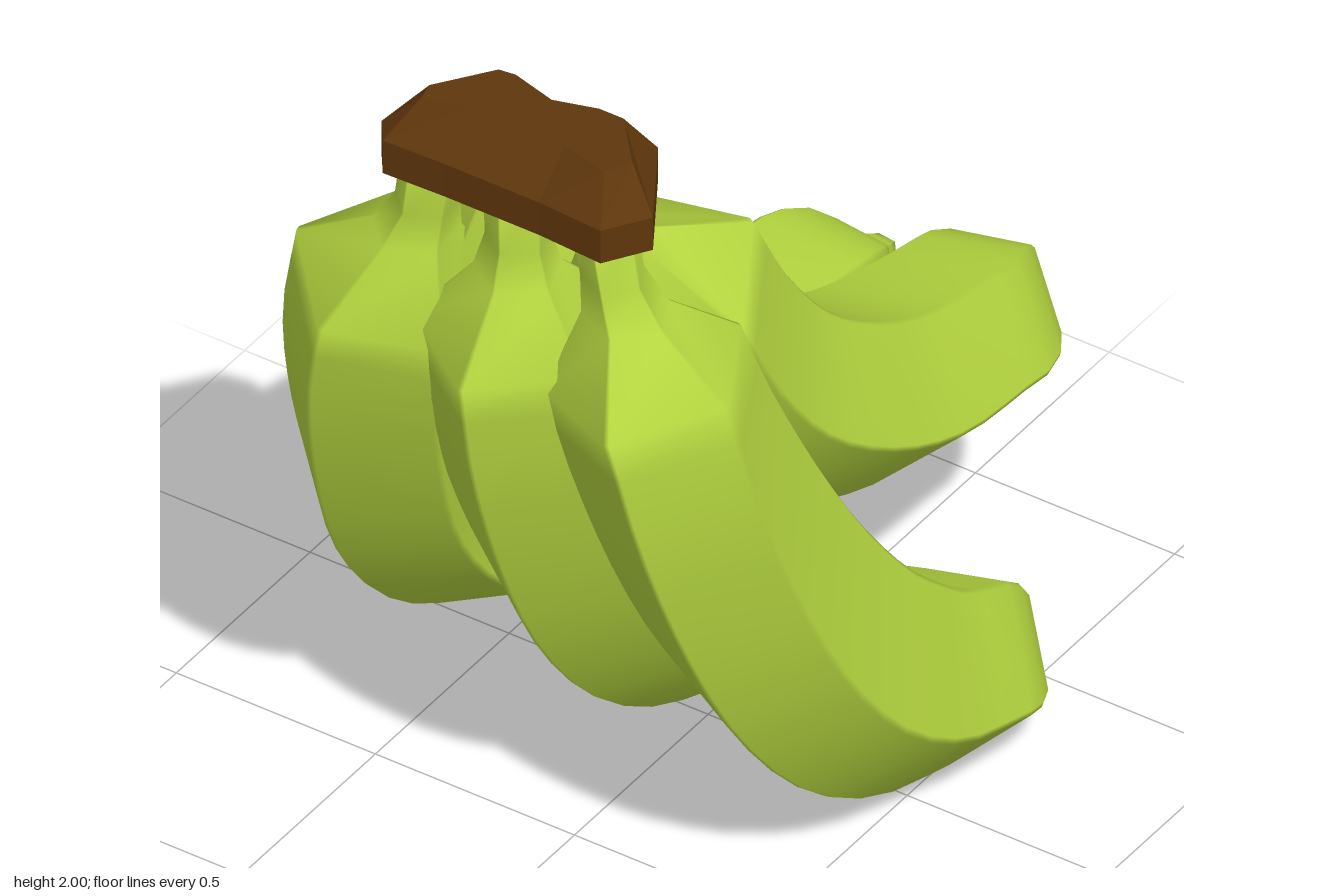
import * as THREE from 'three';

const V = (x, y, z) => new THREE.Vector3(x, y, z);
const smooth = THREE.MathUtils.smoothstep;

// Skin a stack of equal-sized rings and close both ends with fans.
function loft(rings) {
  const n = rings[0].length, pos = [], idx = [];
  rings.forEach(r => r.forEach(p => pos.push(p.x, p.y, p.z)));
  for (const r of [rings[0], rings[rings.length - 1]]) {
    const c = V(0, 0, 0);
    r.forEach(p => c.addScaledVector(p, 1 / n));
    pos.push(c.x, c.y, c.z);
  }
  const start = rings.length * n, end = start + 1, base = start - n;
  for (let j = 0; j < n; j++) {
    const k = (j + 1) % n;
    for (let i = 0; i < rings.length - 1; i++) {
      const a = i * n + j, b = i * n + k;
      idx.push(a, a + n, b, b, a + n, b + n);
    }
    idx.push(start, j, k, end, base + k, base + j);
  }
  const g = new THREE.BufferGeometry();
  g.setAttribute('position', new THREE.Float32BufferAttribute(pos, 3));
  g.setIndex(idx);
  return g;
}

// Five-sided ring with narrow bevelled corners around c, square to direction t.
// One corner lies on the outer curve; depth pushes the flat inner face outwards.
function pentagon(c, t, radius, roll, depth = 1) {
  const side = V(1, 0, 0).addScaledVector(t, -t.x).normalize();
  const front = t.clone().cross(side);
  const corners = Array.from({ length: 5 }, (_, j) => {
    const a = roll + j * Math.PI * 2 / 5;
    const f = Math.cos(a) * (j === 2 || j === 3 ? depth : 1);
    return c.clone().addScaledVector(front, radius * f).addScaledVector(side, radius * Math.sin(a));
  });
  return corners.flatMap((p, j) => [
    p.clone().lerp(corners[(j + 4) % 5], 0.03),
    p.clone().lerp(corners[(j + 1) % 5], 0.03),
  ]);
}

// stem: [x, y, z, radius] from the crown down; body: centre line; tip: end point.
function fruitGeometry({ stem, body, tip, roll, bulge }) {
  const R = 0.23, steps = 16, rings = [], down = V(0, -1, 0);
  for (const [x, y, z, r] of stem) rings.push(pentagon(V(x, y, z), down, r, roll));
  const curve = new THREE.CatmullRomCurve3(body);
  for (let i = 0; i <= steps; i++) {
    const u = i / steps;
    rings.push(pentagon(curve.getPointAt(u), curve.getTangentAt(u),
      R * (1 - 0.07 * smooth(u, 0.75, 1)), roll, 1 + bulge * Math.sin(u * Math.PI * 0.85)));
  }
  const last = body[body.length - 1];
  const t = tip.clone().sub(last).normalize().add(curve.getTangentAt(1)).normalize();
  for (const [f, r] of [[0.22, 0.202], [0.45, 0.172], [0.66, 0.118], [0.8, 0.064], [0.92, 0.046], [1, 0.036]]) {
    rings.push(pentagon(last.clone().lerp(tip, f), t, r, roll, 1 + bulge * 0.45 * (1 - f)));
  }
  const g = loft(rings);
  g.computeVertexNormals();
  return g;
}

// Front-row fruit: x runs from top to bottom, ky and kz shorten the common curve.
const frontCurve = [[0.72, 1.49], [0.68, 1.25], [0.575, 0.94], [0.445, 0.68], [0.26, 0.45], [0.04, 0.295], [-0.19, 0.212]];
function frontFruit(xStem, xTop, xLow, xTip, ky, kz, roll) {
  const fit = (x, z, y) => V(x, 1.49 - (1.49 - y) * ky, 0.72 - (0.72 - z) * kz);
  const spread = i => Math.sin(Math.min(1, i / 5) * Math.PI / 2);
  return {
    roll, bulge: 0.4,
    stem: [[xStem, 1.86, 0.73, 0.073], [xStem + (xTop - xStem) * 0.2, 1.72, 0.725, 0.073],
      [xStem + (xTop - xStem) * 0.5, 1.63, 0.72, 0.1]],
    body: frontCurve.map(([z, y], i) => fit(xTop + (xLow - xTop) * spread(i), z, y)),
    tip: fit(xTip, -0.47, 0.1),
  };
}

// Back-row fruit
function backFruit(xStem, xTop, xLow, curve, tip, roll) {
  return {
    roll, tip, bulge: 0,
    stem: [[xStem, 1.86, 0.585, 0.065], [xStem, 1.75, 0.58, 0.06], [xStem * 1.1, 1.675, 0.56, 0.08]],
    body: curve.map(([z, y], i) => V(xTop + (xLow - xTop) * Math.min(1, i / 3), y, z)),
  };
}

const fruits = {
  frontLeftFruit: frontFruit(0.23, 0.335, 0.482, 0.47, 1, 1, 0.18),
  frontMiddleFruit: frontFruit(0.01, 0.005, 0.01, 0.03, 0.96, 0.96, 0.02),
  frontRightFruit: frontFruit(-0.2, -0.305, -0.485, -0.49, 0.925, 0.96, -0.18),
  backLeftFruit: backFruit(0.14, 0.21, 0.25,
    [[0.48, 1.53], [0.355, 1.3], [0.2, 1.1], [0, 0.945], [-0.245, 0.825], [-0.6, 0.755]],
    V(0.19, 0.7, -0.89), 0.14),
  backRightFruit: backFruit(-0.13, -0.18, -0.195,
    [[0.48, 1.53], [0.39, 1.25], [0.25, 1], [0.04, 0.79], [-0.23, 0.655], [-0.62, 0.592]],
    V(-0.185, 0.555, -0.935), -0.1),
};

// Woody crown: [x, z] outlines of the straight lower part and the drawn-in top
const crownBase = [[0.28, 0.82], [0.345, 0.72], [0.22, 0.515], [0.13, 0.52], [0.01, 0.56],
  [-0.13, 0.515], [-0.18, 0.525], [-0.31, 0.76], [-0.27, 0.815], [-0.12, 0.81], [0.12, 0.81]];
const crownTop = [[0.24, 0.745], [0.27, 0.685], [0.17, 0.57], [0.11, 0.57], [0.01, 0.6],
  [-0.1, 0.57], [-0.14, 0.575], [-0.23, 0.7], [-0.22, 0.745], [-0.12, 0.715], [0.12, 0.715]];
function crownGeometry() {
  const ring = (outline, y) => outline.map(([x, z]) => V(x, y, z));
  const g = loft([ring(crownTop, 2), ring(crownBase, 1.91), ring(crownBase, 1.825)]).toNonIndexed();
  g.computeVertexNormals();
  return g;
}

export function createModel() {
  const model = new THREE.Group();
  model.name = 'fruitBunch';
  const peel = new THREE.MeshStandardMaterial({ color: 0xb6d740 });
  const wood = new THREE.MeshStandardMaterial({ color: 0x5e360c, flatShading: true });
  const add = (name, geometry, material) => {
    const mesh = new THREE.Mesh(geometry, material);
    mesh.name = name;
    model.add(mesh);
  };

  for (const [name, spec] of Object.entries(fruits)) add(name, fruitGeometry(spec), peel);
  add('crown', crownGeometry(), wood);
  return model;
}
